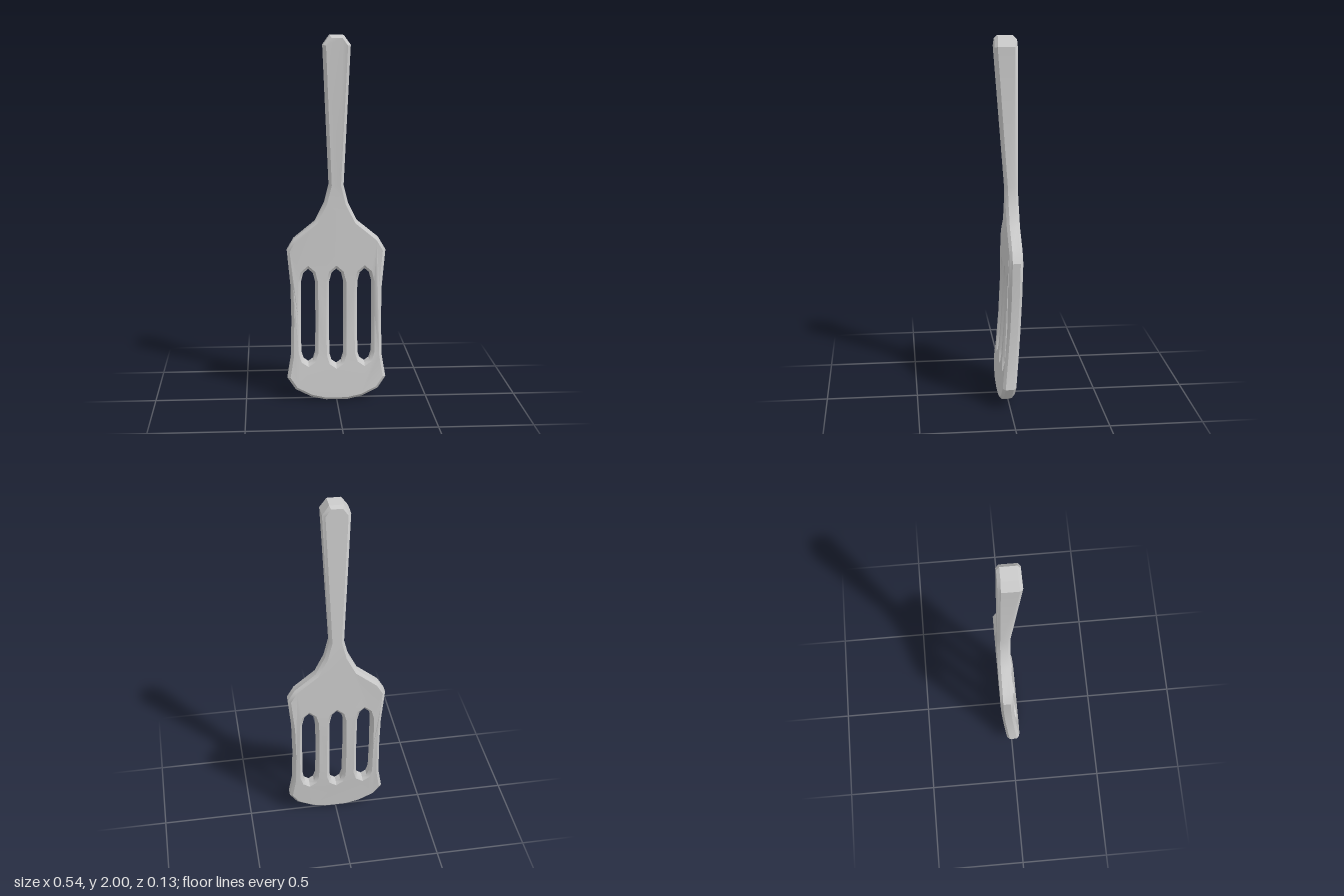
import * as THREE from 'three';
import { toCreasedNormals } from 'three/addons/utils/BufferGeometryUtils.js';

const BEVEL = 0.015, DEPTH = 0.03;

// right half of the outline, from the tip of the handle down to the blade's edge
const HALF = [
  [0.037, 2], [0.073, 1.95], [0.04, 1.2], [0.065, 1.1], [0.115, 1.0], [0.232, 0.905], [0.27, 0.84],
  [0.251, 0.64], [0.247, 0.45], [0.251, 0.25], [0.271, 0.13], [0.227, 0.066], [0.14, 0.022], [0.06, 0.004],
];

// right half of one slot, from its top down
const SLOT = [[0, 0.737], [0.026, 0.715], [0.039, 0.665], [0.041, 0.47], [0.039, 0.27], [0.026, 0.228], [0, 0.21]];

// depth of the front and back surfaces by height: [y, front z, back z]
const SIDE = [
  [0, 0.052, -0.018], [0.06, 0.051, -0.023], [0.13, 0.044, -0.03], [0.3, 0.027, -0.046], [0.5, 0.014, -0.057],
  [0.65, 0.009, -0.063], [0.85, 0.006, -0.066], [1.05, 0.006, -0.065], [1.2, 0.009, -0.061],
  [1.95, 0.065, -0.056], [2, 0.06, -0.054],
];

function surfaceAt(y, column) {
  let i = 0;
  while (i < SIDE.length - 2 && y > SIDE[i + 1][0]) i++;
  const t = THREE.MathUtils.clamp((y - SIDE[i][0]) / (SIDE[i + 1][0] - SIDE[i][0]), 0, 1);
  return THREE.MathUtils.lerp(SIDE[i][column], SIDE[i + 1][column], t);
}

// mirrors a half profile into a closed clockwise loop, shifted along x
function mirrored(half, cx = 0) {
  const left = half.filter(([x]) => x > 0).reverse().map(([x, y]) => [-x, y]);
  return [...half, ...left].map(([x, y]) => new THREE.Vector2(x + cx, y));
}

export function createModel() {
  const group = new THREE.Group();
  group.name = 'slottedTurner';

  // flat body with three slots and a chamfer all round; the slots run counter-clockwise
  const shape = new THREE.Shape(mirrored(HALF));
  for (const cx of [-0.155, 0, 0.155]) {
    const drop = cx === 0 ? 0.012 : 0;
    const half = SLOT.map(([x, y]) => [x, y < 0.3 ? y - drop : y]);
    shape.holes.push(new THREE.Path(mirrored(half, cx).reverse()));
  }
  const geometry = new THREE.ExtrudeGeometry(shape, {
    depth: DEPTH, bevelEnabled: true, bevelSegments: 1,
    bevelSize: BEVEL, bevelThickness: BEVEL, bevelOffset: -BEVEL,
  });

  // bend the blade and thicken the handle, keeping the chamfer width
  const pos = geometry.attributes.position;
  for (let i = 0; i < pos.count; i++) {
    const y = pos.getY(i), z = pos.getZ(i);
    pos.setZ(i, z > DEPTH / 2
      ? surfaceAt(y, 1) - (DEPTH + BEVEL - z)
      : surfaceAt(y, 2) + (z + BEVEL));
  }

  const body = new THREE.Mesh(
    toCreasedNormals(geometry, 0.5),
    new THREE.MeshStandardMaterial({ color: 0xcccccc }),
  );
  body.name = 'bladeAndHandle';
  // rest the blade's edge on the ground
  body.geometry.computeBoundingBox();
  body.position.y = -body.geometry.boundingBox.min.y;
  group.add(body);
  return group;
}
